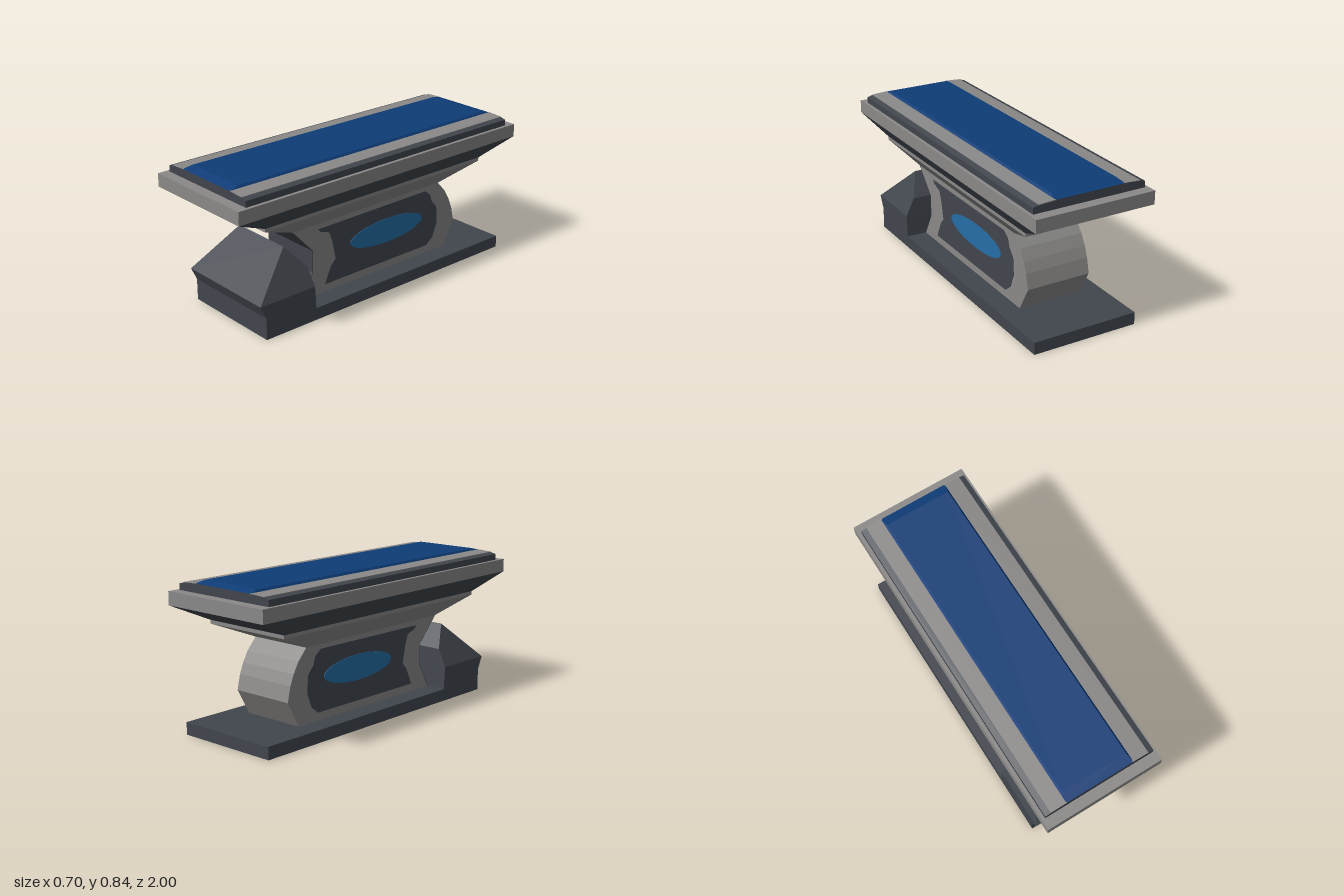
import * as THREE from 'three';

const paint = (name, color) => {
  const m = new THREE.MeshStandardMaterial({ color });
  m.name = name;
  return m;
};

export function createModel() {
  const slate = paint('slate', 0x41464d);
  const grey = paint('grey', 0x8a8988);
  const darkBlue = paint('dark blue', 0x0e3c77);
  const lightBlue = paint('light blue', 0x236ea8);
  const model = new THREE.Group();

  const add = (name, geometry, material) => {
    const mesh = new THREE.Mesh(geometry, material);
    mesh.name = name;
    model.add(mesh);
    return mesh;
  };
  const toShape = (pts) => new THREE.Shape(pts.map(([a, b]) => new THREE.Vector2(a, b)));
  const extrude = (shape, depth) =>
    new THREE.ExtrudeGeometry(shape, { depth, bevelEnabled: false, curveSegments: 24 }).translate(0, 0, -depth / 2);
  // side outline of [z, y] points, extruded across the width
  const across = (shape, width) => extrude(shape, width).rotateY(-Math.PI / 2);

  // rectangular block between two levels given as [y, half width, half length]
  const block = (name, [y0, x0, z0], [y1, x1, z1], material) => {
    const g = new THREE.BoxGeometry(2, 2, 2);
    const p = g.attributes.position;
    for (let i = 0; i < p.count; i++) {
      const top = p.getY(i) > 0;
      p.setXYZ(i, p.getX(i) * (top ? x1 : x0), top ? y1 : y0, p.getZ(i) * (top ? z1 : z0));
    }
    g.computeVertexNormals();
    return add(name, g, material);
  };

  // base plate, running further to the back
  block('basePlate', [0, 0.31, 0.88], [0.07, 0.31, 0.88], slate).position.z = -0.06;

  // front wedge: straight lower part, upper part narrowing to a ridge
  add('wedgeLower', across(toShape([
    [0.485, 0.07], [0.82, 0.07], [0.82, 0.125], [0.855, 0.2], [0.493, 0.2],
  ]), 0.62), slate);
  const ridge = across(toShape([[0.493, 0.2], [0.855, 0.2], [0.605, 0.425], [0.5, 0.3]]), 0.62);
  const rp = ridge.attributes.position;
  for (let i = 0; i < rp.count; i++) {
    const t = (rp.getY(i) - 0.2) / 0.225;
    rp.setX(i, Math.sign(rp.getX(i)) * (0.31 - 0.12 * t));
  }
  ridge.computeVertexNormals();
  add('wedgeUpper', ridge, slate);

  // pedestal body with a notched front and a bowed back
  const front = [[0.48, 0.07], [0.405, 0.21], [0.405, 0.34], [0.54, 0.485]];
  const back = [[-0.54, 0.485], [-0.6, 0.42], [-0.635, 0.36], [-0.66, 0.3], [-0.68, 0.215], [-0.6, 0.07]];
  add('body', across(toShape([...front, ...back]), 0.38), grey);
  const facing = front.map(([z, y]) => [z + 0.004, y]).reverse();
  add('bodyFrontFacing', across(toShape([...front, ...facing]), 0.38), slate);

  // inset side panels with oval windows
  const panel = toShape([
    [0.325, 0.115], [0.31, 0.15], [0.28, 0.215], [0.247, 0.25], [0.27, 0.36], [0.29, 0.415], [0.35, 0.435],
    [0.37, 0.455], [-0.435, 0.46], [-0.475, 0.43], [-0.49, 0.385], [-0.53, 0.34], [-0.538, 0.24],
    [-0.505, 0.155], [-0.455, 0.115],
  ]);
  const oval = new THREE.Shape();
  oval.absellipse(-0.135, 0.305, 0.275, 0.072, 0, Math.PI * 2);
  for (const [side, s] of [['left', 1], ['right', -1]]) {
    add(side + 'SidePanel', across(panel, 0.006), slate).position.x = s * 0.19;
    add(side + 'OvalWindow', across(oval, 0.006), lightBlue).position.x = s * 0.193;
  }

  // flaring head
  block('neck', [0.485, 0.19, 0.54], [0.585, 0.275, 0.785], grey);
  block('neckBand', [0.585, 0.275, 0.785], [0.605, 0.275, 0.785], grey);
  block('flare', [0.605, 0.275, 0.785], [0.705, 0.35, 1], slate);
  block('rim', [0.705, 0.35, 1], [0.78, 0.35, 1], grey);

  // top slab with sloping shoulders
  add('topSlab', extrude(toShape([
    [-0.33, 0.78], [0.33, 0.78], [0.33, 0.815], [0.295, 0.824], [0.2, 0.829],
    [-0.2, 0.829], [-0.295, 0.824], [-0.33, 0.815],
  ]), 1.88), slate);

  // grey strips beside the blue top
  for (const s of [1, -1]) {
    const strip = [[0.2, 0.825], [0.298, 0.821], [0.298, 0.826], [0.2, 0.831]];
    add(s > 0 ? 'leftTopStrip' : 'rightTopStrip', extrude(toShape(strip.map(([x, y]) => [x * s, y])), 1.88), grey);
  }
  block('bluePad', [0.829, 0.206, 0.94], [0.843, 0.194, 0.885], darkBlue);

  return model;
}
